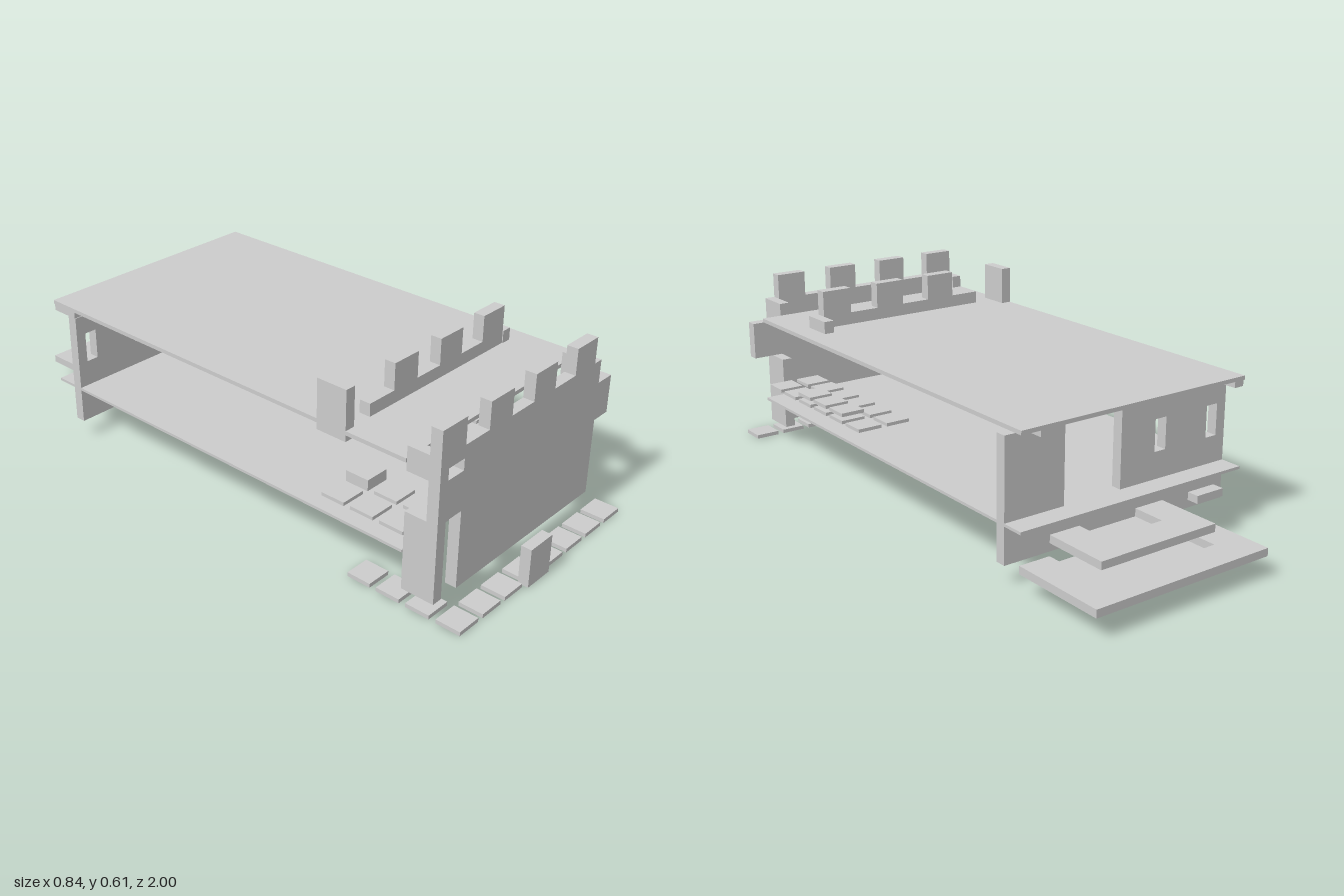
import * as THREE from 'three';

const U = 0.105; // building module
const stone = new THREE.MeshStandardMaterial({ color: 0xcccccc });
stone.name = 'stone grey';

export function createModel() {
  const model = new THREE.Group();
  model.name = 'castle';

  const add = (name, geometry) => {
    const mesh = new THREE.Mesh(geometry, stone);
    mesh.name = name;
    model.add(mesh);
    return mesh;
  };

  // Box from its limits on each axis
  const box = (name, x0, x1, y0, y1, z0, z1) => {
    const mesh = add(name, new THREE.BoxGeometry(x1 - x0, y1 - y0, z1 - z0));
    mesh.position.set((x0 + x1) / 2, (y0 + y1) / 2, (z0 + z1) / 2);
  };

  const shapeOf = (points) => new THREE.Shape(points.map(([x, y]) => new THREE.Vector2(x, y)));
  const rectHole = (shape, x0, x1, y0, y1) => {
    shape.holes.push(new THREE.Path([[x0, y0], [x0, y1], [x1, y1], [x1, y0]].map(([x, y]) => new THREE.Vector2(x, y))));
  };
  const plate = (name, shape, depth, z) => {
    const mesh = add(name, new THREE.ExtrudeGeometry(shape, { depth, bevelEnabled: false }));
    mesh.position.z = z;
    return mesh;
  };

  // Front wall with merlons, side doorway and slit
  const front = [[-0.42, 0.065], [-0.385, 0.065], [-0.385, 0.317], [-0.317, 0.317], [-0.317, 0.065],
    [0.35, 0.065], [0.35, 0.317], [0.42, 0.317], [0.42, 0.443], [0.35, 0.443], [0.35, 0.52]];
  for (let k = 2; k >= -4; k -= 2) {
    const a = k * U, b = a + U;
    front.push([b, 0.52], [b, 0.605], [a, 0.605]);
    if (k > -4) front.push([a, 0.52]);
  }
  const frontShape = shapeOf(front);
  rectHole(frontShape, -0.385, -0.317, 0.443, 0.52 - 0.04);
  plate('frontWall', frontShape, 0.037, 0.863);

  // Short returns behind the front wall and under the rear eaves
  for (const x of [-0.42, 0.315]) {
    box('lowerReturn', x, x + 0.035, 0.065, 0.317, 0.79, 0.864);
    box('upperReturn', x, x + 0.035, 0.443, 0.52, 0.79, 0.864);
    box('eavesBracket', x, x + 0.035, 0.445, 0.475, -0.68, -0.58);
  }

  // Roof and floor slabs
  box('roof', -0.42, 0.42, 0.466, 0.479, -0.685, 0.787);
  box('floor', -0.42, 0.42, 0.182, 0.191, -0.685, 0.787);

  // Back wall with doorway and two windows
  const backShape = shapeOf([[-0.42, 0.065], [0.42, 0.065], [0.42, 0.445], [0.21, 0.445],
    [0.21, 0.191], [0, 0.191], [0, 0.445], [-0.42, 0.445]]);
  rectHole(backShape, -0.385, -0.342, 0.278, 0.38);
  rectHole(backShape, -0.175, -0.132, 0.278, 0.38);
  plate('backWall', backShape, 0.035, -0.612);

  // Inner parapet on the roof with its corner pieces
  box('parapet', -0.315, 0.315, 0.445, 0.52, 0.54, 0.577);
  for (const k of [-2, 0, 2]) box('parapetMerlon', k * U, (k + 1) * U, 0.52, 0.605, 0.54, 0.577);
  box('parapetCorner', -0.42, -0.385, 0.445, 0.605, 0.475, 0.58);
  box('parapetEnd', 0.315, 0.35, 0.445, 0.52, 0.475, 0.58);

  // Rear terraces: open frames with a thin sunken floor
  const terrace = (name, x0, x1, depth, y) => {
    const s = shapeOf([[x0, 0.68], [x0 + U, 0.68], [x0 + U, 0.68 + depth - U], [x1 - U, 0.68 + depth - U],
      [x1 - U, 0.68], [x1, 0.68], [x1, 0.68 + depth], [x0, 0.68 + depth]]);
    const mesh = plate(name, s, 0.025, 0);
    mesh.rotation.x = -Math.PI / 2;
    mesh.position.y = y;
    box(name + 'Base', x0 + U, x1 - U, y - 0.01, y, -0.68 - depth + U, -0.68);
  };
  terrace('lowerTerrace', -0.21, 0.42, 0.32, 0.066);
  terrace('upperTerrace', -0.105, 0.315, 0.215, 0.13);
  box('rearStep', -0.315, -0.21, 0.13, 0.155, -0.72, -0.68);

  // Paving tiles on the ground and inside
  const tile = (name, x, z, y0, y1) => box(name, x - 0.042, x + 0.042, y0, y1, z - 0.041, z + 0.041);
  for (let i = 0; i < 8; i++) tile('groundTile', (i - 3.5) * U, 0.945, 0, 0.013);
  for (let i = 1; i < 4; i++) tile('groundTile', -3.5 * U, 0.945 - i * U, 0, 0.013);
  for (let i = 0; i < 6; i++) {
    const z = 0.738 - i * U;
    tile('innerTile', 3.5 * U, z, 0.229, 0.24);
    tile('innerTile', 2.5 * U, z, 0.229, 0.24);
    if (i < 3) for (const k of [-3.5, -2.5]) tile('innerTile', k * U, z, 0.229, 0.24);
    if (i > 1 && i < 5) tile('raisedTile', 3.5 * U, z, 0.253, 0.265);
  }
  tile('innerBlock', -2.5 * U, 0.528, 0.24, 0.265);

  // Front gate slab
  box('gate', -0.105, 0, 0, 0.128, 0.965, 1);

  return model;
}
